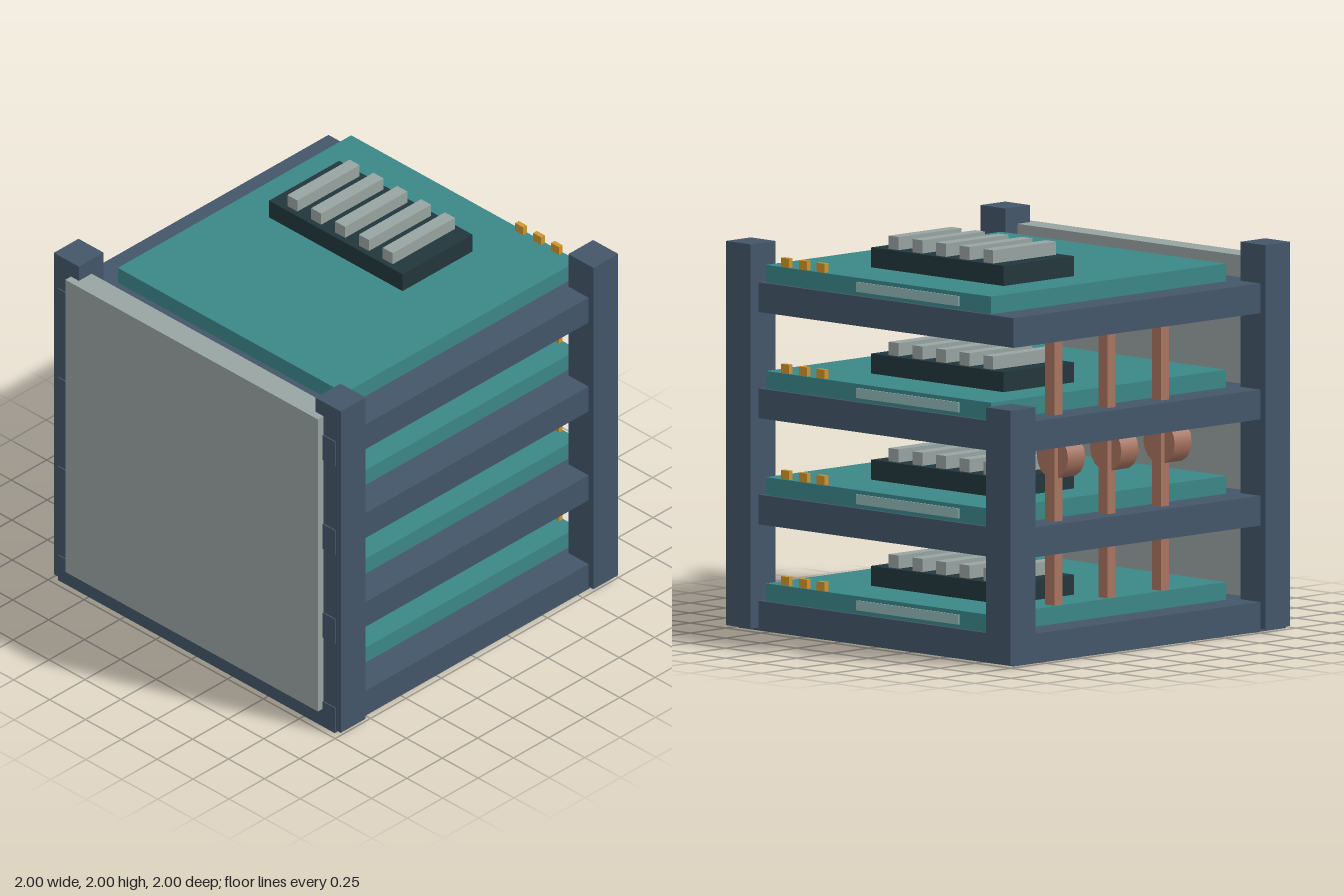
import * as THREE from 'three';

const mat = (name, color) => {
  const m = new THREE.MeshStandardMaterial({ color });
  m.name = name;
  return m;
};

export function createModel() {
  const model = new THREE.Group();
  model.name = 'boardRack';

  const slate = mat('slate frame', 0x44566a);
  const grey = mat('pale grey metal', 0x98a4a1);
  const teal = mat('teal board', 0x3b8788);
  const dark = mat('dark chip', 0x22363c);
  const copper = mat('copper', 0xaa7561);
  const gold = mat('gold contact', 0xcf962f);
  const pale = mat('pale label', 0x94b8b8);

  // Box given by its limits on each axis
  const box = (parent, name, material, [x0, x1], [y0, y1], [z0, z1]) => {
    const mesh = new THREE.Mesh(new THREE.BoxGeometry(x1 - x0, y1 - y0, z1 - z0), material);
    mesh.position.set((x0 + x1) / 2, (y0 + y1) / 2, (z0 + z1) / 2);
    mesh.name = name;
    parent.add(mesh);
    return mesh;
  };

  // Corner posts; the rear one on the model's right is cut short
  for (const [name, x, z, top] of [
    ['frontLeftPost', 0.825, 0.785, 1.94],
    ['frontRightPost', -1, 0.785, 1.94],
    ['rearLeftPost', 0.825, -1, 1.94],
    ['rearRightPost', -1, -1, 1.29],
  ]) box(model, name, slate, [x, x + 0.175], [0.015, top], [z, z + 0.175]);

  // Four identical levels: shelf, board, finned chip, contacts and rear label
  for (let i = 0; i < 4; i++) {
    const level = new THREE.Group();
    level.name = `level${i + 1}`;
    level.position.y = i * 0.532;
    model.add(level);

    box(level, 'shelf', slate, [-0.965, 0.965], [0, 0.149], [-0.945, 0.967]);
    box(level, 'board', teal, [-0.79, 0.79], [0.149, 0.238], [-0.928, 0.72]);
    box(level, 'chip', dark, [-0.57, 0.36], [0.238, 0.338], [-0.62, -0.125]);
    for (let f = 0; f < 5; f++) {
      const x = -0.437 + f * 0.166;
      box(level, 'coolingFin', grey, [x - 0.035, x + 0.035], [0.338, 0.404], [-0.595, -0.155]);
    }
    for (let c = 0; c < 3; c++) {
      const x = 0.41 + c * 0.125;
      box(level, 'contact', gold, [x - 0.028, x + 0.028], [0.225, 0.284], [-0.924, -0.898]);
    }
    box(level, 'rearLabel', pale, [-0.57, 0.15], [0.168, 0.218], [-0.935, -0.927]);
  }

  // Copper bars through the shelves, each with a roller under the third shelf
  for (const z of [0.192, -0.182, -0.556]) {
    box(model, 'copperBar', copper, [-0.89, -0.825], [0.26, 1.65], [z - 0.028, z + 0.028]);
    const roller = new THREE.Mesh(new THREE.CylinderGeometry(0.11, 0.11, 0.12, 16), copper);
    roller.rotation.x = Math.PI / 2;
    roller.position.set(-0.85, 1.0, z + 0.058);
    roller.name = 'copperRoller';
    model.add(roller);
  }

  // Front cover
  box(model, 'frontPanel', grey, [-0.88, 0.88], [0.105, 1.855], [0.87, 1]);

  return model;
}
